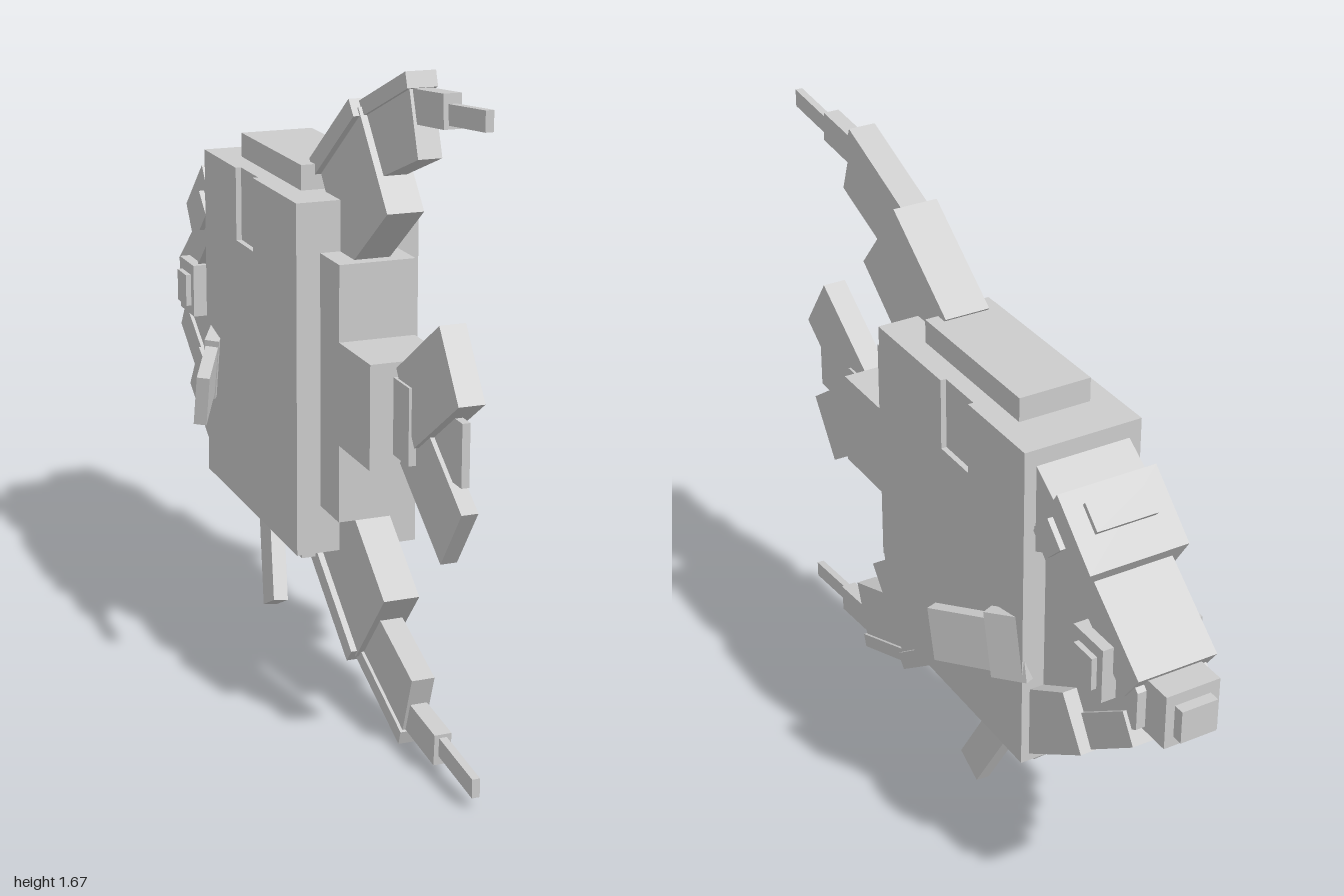
import * as THREE from 'three';

export function createModel() {
  const model = new THREE.Group();
  model.name = 'fish';
  const grey = new THREE.MeshStandardMaterial({ color: 0xcccccc });
  grey.name = 'plain grey';

  const add = (name, geometry) => {
    const mesh = new THREE.Mesh(geometry, grey);
    mesh.name = name;
    model.add(mesh);
    return mesh;
  };

  // Side outline given as [z, y] points, extruded across x from x0 to x1
  const slab = (name, pts, x1, x0 = -x1) => {
    const shape = new THREE.Shape(pts.map(([z, y]) => new THREE.Vector2(z, y)));
    const g = new THREE.ExtrudeGeometry(shape, { depth: x1 - x0, bevelEnabled: false });
    g.rotateY(-Math.PI / 2);
    g.translate(x1, 0, 0);
    return add(name, g);
  };

  // Upright block: z range, y range, half width
  const block = (name, z0, z1, y0, y1, w) => {
    const g = new THREE.BoxGeometry(2 * w, y1 - y0, z1 - z0);
    g.translate(0, (y0 + y1) / 2, (z0 + z1) / 2);
    return add(name, g);
  };

  // Thin bar running from a to b; height lies in the z/y plane, thickness sideways
  const bar = (name, a, b, thickness, height) => {
    const from = new THREE.Vector3(...a), to = new THREE.Vector3(...b);
    const along = to.clone().sub(from);
    const length = along.length();
    along.normalize();
    const up = new THREE.Vector3(1, 0, 0).cross(along).normalize();
    const side = along.clone().cross(up).normalize();
    const up2 = side.clone().cross(along).negate();
    const m = new THREE.Matrix4().makeBasis(side, up2.negate(), along);
    if (m.determinant() < 0) m.makeBasis(side.negate(), up2, along);
    m.setPosition(from.add(to).multiplyScalar(0.5));
    return add(name, new THREE.BoxGeometry(thickness, height, length).applyMatrix4(m));
  };

  // Body: core with a side panel on each flank, notched at the top edge
  block('bodyCore', -0.48, 0.245, 0.385, 1.305, 0.148);
  const panel = [[-0.48, 0.385], [0.245, 0.385], [0.245, 1.305], [-0.08, 1.305],
    [-0.08, 1.11], [-0.215, 1.11], [-0.215, 1.305], [-0.48, 1.305]];
  slab('leftSidePanel', panel, 0.163, 0.148);
  slab('rightSidePanel', panel, -0.148, -0.163);
  block('topRidge', -0.35, 0.11, 1.305, 1.37, 0.1);
  block('bottomRidge', -0.35, 0.11, 0.32, 0.385, 0.1);

  // Tail
  block('rearBody', 0.245, 0.375, 0.513, 1.175, 0.1);
  block('tailStem', 0.375, 0.578, 0.715, 0.98, 0.1);
  block('tailJoint', 0.578, 0.673, 0.75, 0.943, 0.04);
  block('tailMiddleFin', 0.6, 0.91, 0.77, 0.925, 0.01);
  slab('tailUpperFin', [[0.825, 1.134], [0.938, 0.974], [0.69, 0.80], [0.577, 0.965]], 0.033);
  slab('tailLowerFin', [[0.825, 0.556], [0.938, 0.716], [0.69, 0.89], [0.577, 0.725]], 0.021);

  // Back fin and its mirror image below
  const finParts = [
    ['FinBase', [[0.36, 1.555], [0.547, 1.332], [0.28, 1.13], [0.10, 1.36]], 0.047],
    ['FinBaseStrip', [[0.338, 1.572], [0.37, 1.535], [0.105, 1.34], [0.07, 1.377]], 0.063],
    ['FinMiddle', [[0.628, 1.65], [0.686, 1.487], [0.35, 1.36], [0.33, 1.53]], 0.03],
    ['FinMiddleStrip', [[0.625, 1.68], [0.638, 1.643], [0.345, 1.525], [0.333, 1.563]], 0.038],
    ['FinOuter', [[0.804, 1.657], [0.809, 1.577], [0.63, 1.56], [0.62, 1.64]], 0.022],
    ['FinTip', [[1, 1.652], [1, 1.604], [0.80, 1.585], [0.80, 1.633]], 0.01],
  ];
  for (const [name, pts, w] of finParts) {
    slab('upper' + name, pts, w);
    slab('lower' + name, pts.map(([z, y]) => [z, 1.69 - y]), w);
  }

  // Head
  slab('headCore', [[-0.48, 1.2], [-0.86, 0.88], [-0.89, 0.85], [-0.89, 0.745], [-0.48, 0.5]], 0.1);
  slab('forehead', [[-0.48, 1.26], [-0.585, 1.19], [-0.6, 1.08], [-0.48, 1.02]], 0.13);
  slab('nose', [[-0.482, 1.245], [-0.906, 0.898], [-0.847, 0.818], [-0.482, 1.11]], 0.11);
  slab('browBlock', [[-0.584, 1.24], [-0.734, 1.1], [-0.632, 0.945], [-0.482, 1.085]], 0.138);
  slab('browSidePlates', [[-0.568, 1.171], [-0.627, 1.115], [-0.568, 1.059], [-0.509, 1.115]], 0.153);
  slab('browTopPlate', [[-0.605, 1.2], [-0.622, 1.223], [-0.678, 1.172], [-0.66, 1.15]], 0.085);
  block('eyeBlock', -0.80, -0.672, 0.78, 0.93, 0.14);
  block('eyes', -0.777, -0.697, 0.807, 0.898, 0.155);
  block('muzzle', -0.97, -0.878, 0.733, 0.882, 0.075);
  block('lips', -1, -0.965, 0.76, 0.85, 0.05);
  slab('jaw', [[-0.48, 0.61], [-0.632, 0.70], [-0.72, 0.567], [-0.48, 0.406]], 0.14);
  slab('chin', [[-0.847, 0.775], [-0.895, 0.70], [-0.718, 0.572], [-0.67, 0.652]], 0.11);

  // Paired fins
  for (const [side, s] of [['left', 1], ['right', -1]]) {
    bar(side + 'SideFinRoot', [s * 0.14, 0.73, -0.465], [s * 0.19, 0.71, -0.375], 0.04, 0.18);
    bar(side + 'SideFin', [s * 0.185, 0.712, -0.385], [s * 0.265, 0.672, -0.22], 0.035, 0.145);
    bar(side + 'BellyFin', [s * 0.055, 0.37, -0.262], [s * 0.092, 0.105, -0.122], 0.04, 0.096);
  }

  return model;
}
